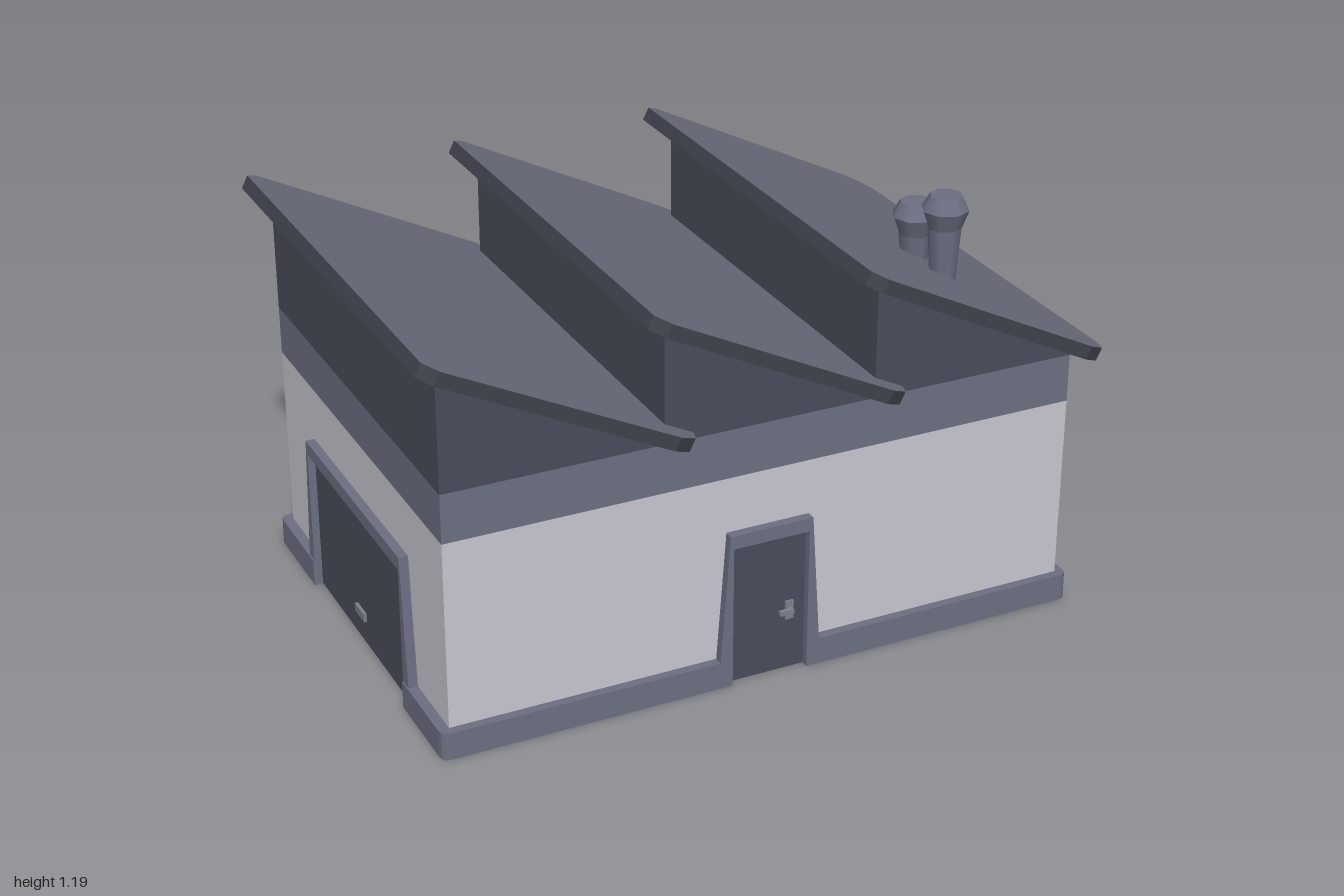
import * as THREE from 'three';

const mat = (name, color) => {
  const m = new THREE.MeshStandardMaterial({ color });
  m.name = name;
  return m;
};

export function createModel() {
  const wallMat = mat('pale wall', 0xc8c6d0);
  const trimMat = mat('grey trim', 0x6c6f82);
  const roofMat = mat('grey roof', 0x6a6b7b);
  const darkMat = mat('dark slate', 0x494d5b);
  const edgeMat = mat('dark edge', 0x3f424c);
  const glassMat = mat('blue glass', 0x7fa5dc);
  const metalMat = mat('handle metal', 0x7c7f8a);

  const model = new THREE.Group();
  model.name = 'workshop';

  const add = (parent, name, geo, material, x = 0, y = 0, z = 0) => {
    const m = new THREE.Mesh(geo, material);
    m.name = name;
    m.position.set(x, y, z);
    parent.add(m);
    return m;
  };
  // Box given by its minimum and maximum corners
  const box = (parent, name, material, [x0, y0, z0], [x1, y1, z1]) =>
    add(parent, name, new THREE.BoxGeometry(x1 - x0, y1 - y0, z1 - z0), material,
      (x0 + x1) / 2, (y0 + y1) / 2, (z0 + z1) / 2);
  const polygon = pts => new THREE.Shape(pts.map(p => new THREE.Vector2(...p)));
  const extrude = (shape, depth) =>
    new THREE.ExtrudeGeometry(shape, { depth, bevelEnabled: false, curveSegments: 3 });

  // Wall limits
  const L = -0.93, R = 0.91, F = 0.63, B = -0.603;

  // Plinth with rounded corners, notched at the three doorways (shape y is -z)
  const [pl, pr, pf, pb, r] = [-0.96, 0.936, -0.656, 0.633, 0.025];
  const plinth = new THREE.Shape();
  const line = pts => pts.forEach(p => plinth.lineTo(...p));
  plinth.moveTo(pl + r, pf);
  line([[-0.125, pf], [-0.125, -F], [0.1, -F], [0.1, pf], [pr - r, pf]]);
  plinth.quadraticCurveTo(pr, pf, pr, pf + r);
  line([[pr, pb - r]]);
  plinth.quadraticCurveTo(pr, pb, pr - r, pb);
  line([[0.168, pb], [0.168, -B], [-0.188, -B], [-0.188, pb], [pl + r, pb]]);
  plinth.quadraticCurveTo(pl, pb, pl, pb - r);
  line([[pl, 0.34], [L, 0.34], [L, -0.37], [pl, -0.37], [pl, pf + r]]);
  plinth.quadraticCurveTo(pl, pf, pl + r, pf);
  add(model, 'plinth', extrude(plinth, 0.08).rotateX(-Math.PI / 2), trimMat);

  // Walls and the band above them
  box(model, 'walls', wallMat, [L, 0.04, B], [R, 0.62, F]);
  box(model, 'wallBand', trimMat, [L, 0.62, B], [R, 0.76, F]);

  // Sawtooth roof: three gable wedges, each under a sloping slab
  const gable = extrude(polygon([[L, 0.76], [-0.32, 0.76], [-0.32, 0.778], [L, 1.084]]), F - B);
  const len = 0.8385, half = 0.6935, thick = 0.038;
  const slabShape = polygon([
    [0, -half + 0.03], [0.04, -half], [len - 0.08, -half], [len - 0.022, -half + 0.028],
    [len, -half + 0.08], [len, half - 0.08], [len - 0.022, half - 0.028], [len - 0.08, half],
    [0.04, half], [0, half - 0.03],
  ]);
  const slab = extrude(slabShape, thick).rotateX(-Math.PI / 2).translate(0, -thick, 0);
  const sheet = new THREE.ShapeGeometry(slabShape).rotateX(-Math.PI / 2);
  for (let i = 0; i < 3; i++) {
    const dx = i * 0.615;
    add(model, 'gable', gable, darkMat, dx, 0, B);
    const roof = new THREE.Group();
    roof.name = 'roofPanel';
    roof.position.set(-0.98 + dx, 1.15, 0.0115);
    roof.rotation.z = -Math.atan(0.5);
    add(roof, 'roofSlab', slab, edgeMat);
    add(roof, 'roofSheet', sheet, roofMat, 0, 0.0015, 0);
    model.add(roof);
  }

  // Doorway facing +z: tapered surround and a door leaf
  const doorway = (name, x, z, turn, top, bottom, inner) => {
    const g = new THREE.Group();
    g.name = name;
    g.position.set(x, 0, z);
    g.rotation.y = turn;
    add(g, 'doorSurround', extrude(polygon([
      [-bottom, 0], [-inner, 0], [-inner, 0.42], [inner, 0.42], [inner, 0],
      [bottom, 0], [top, 0.46], [-top, 0.46],
    ]), 0.0265), trimMat);
    box(g, 'doorLeaf', darkMat, [-inner, 0.001, -0.01], [inner, 0.42, 0.005]);
    model.add(g);
    return g;
  };

  // Front door with lever handle
  const front = doorway('frontDoor', -0.0125, F, 0, 0.1225, 0.155, 0.1125);
  box(front, 'handlePlate', metalMat, [0.053, 0.155, 0.004], [0.077, 0.21, 0.012]);
  box(front, 'handleLever', metalMat, [0.028, 0.18, 0.018], [0.07, 0.193, 0.03]);
  box(front, 'handleStem', metalMat, [0.058, 0.18, 0.01], [0.07, 0.193, 0.02]);

  // Glazed double door at the back
  const back = doorway('doubleDoor', -0.01, B, Math.PI, 0.19, 0.22, 0.178);
  box(back, 'centrePost', darkMat, [-0.012, 0.001, 0.004], [0.012, 0.42, 0.012]);
  for (const s of [-1, 1]) {
    const span = (a, b) => [Math.min(s * a, s * b), Math.max(s * a, s * b)];
    const [g0, g1] = span(0.03, 0.15);
    box(back, 'glassPane', glassMat, [g0, 0.045, 0.003], [g1, 0.385, 0.008]);
    const [h0, h1] = span(0.014, 0.042);
    box(back, 'pullHandle', metalMat, [h0, 0.18, 0.006], [h1, 0.25, 0.036]);
  }

  // Wide shutter door on the side
  const side = doorway('shutterDoor', L, 0.015, -Math.PI / 2, 0.365, 0.4, 0.355);
  box(side, 'shutterHandle', metalMat, [-0.05, 0.075, 0.004], [0.02, 0.1, 0.014]);

  // Chimneys: tapered stack with a two-part octagonal head
  const chimney = (z, neck) => {
    const g = new THREE.Group();
    g.name = 'chimney';
    g.position.set(0.645, 0, z);
    const ring = (name, y0, y1, r0, r1, open) => add(g, name,
      new THREE.CylinderGeometry(r1, r0, y1 - y0, 8, 1, open), trimMat, 0, (y0 + y1) / 2, 0);
    ring('chimneyStack', 0.9, neck, 0.034, 0.047, true);
    ring('chimneyFlare', neck, neck + 0.053, 0.047, 0.066, true);
    ring('chimneyCap', neck + 0.053, neck + 0.093, 0.066, 0.045, false);
    model.add(g);
  };
  chimney(0.383, 1.093);
  chimney(0.23, 1.018);

  // Downpipe with hopper and open clips at the back corner
  const px = -0.85, pz = -0.661;
  add(model, 'downpipe', new THREE.CylinderGeometry(0.0205, 0.0205, 0.63, 8), trimMat, px, 0.415, pz);
  const hopper = extrude(polygon([[B, 0.715], [-0.687, 0.715], [-0.668, 0.762], [B, 0.762]]), 0.07);
  add(model, 'hopper', hopper.rotateY(-Math.PI / 2), trimMat, px + 0.035, 0, 0);
  const clip = new THREE.CylinderGeometry(0.039, 0.039, 0.04, 8, 1, true);
  clip.setIndex(Array.from(clip.index.array).reverse()); // inner face shows
  clip.computeVertexNormals();
  for (const y of [0.215, 0.607]) add(model, 'pipeClip', clip, edgeMat, px, y, pz);

  return model;
}
